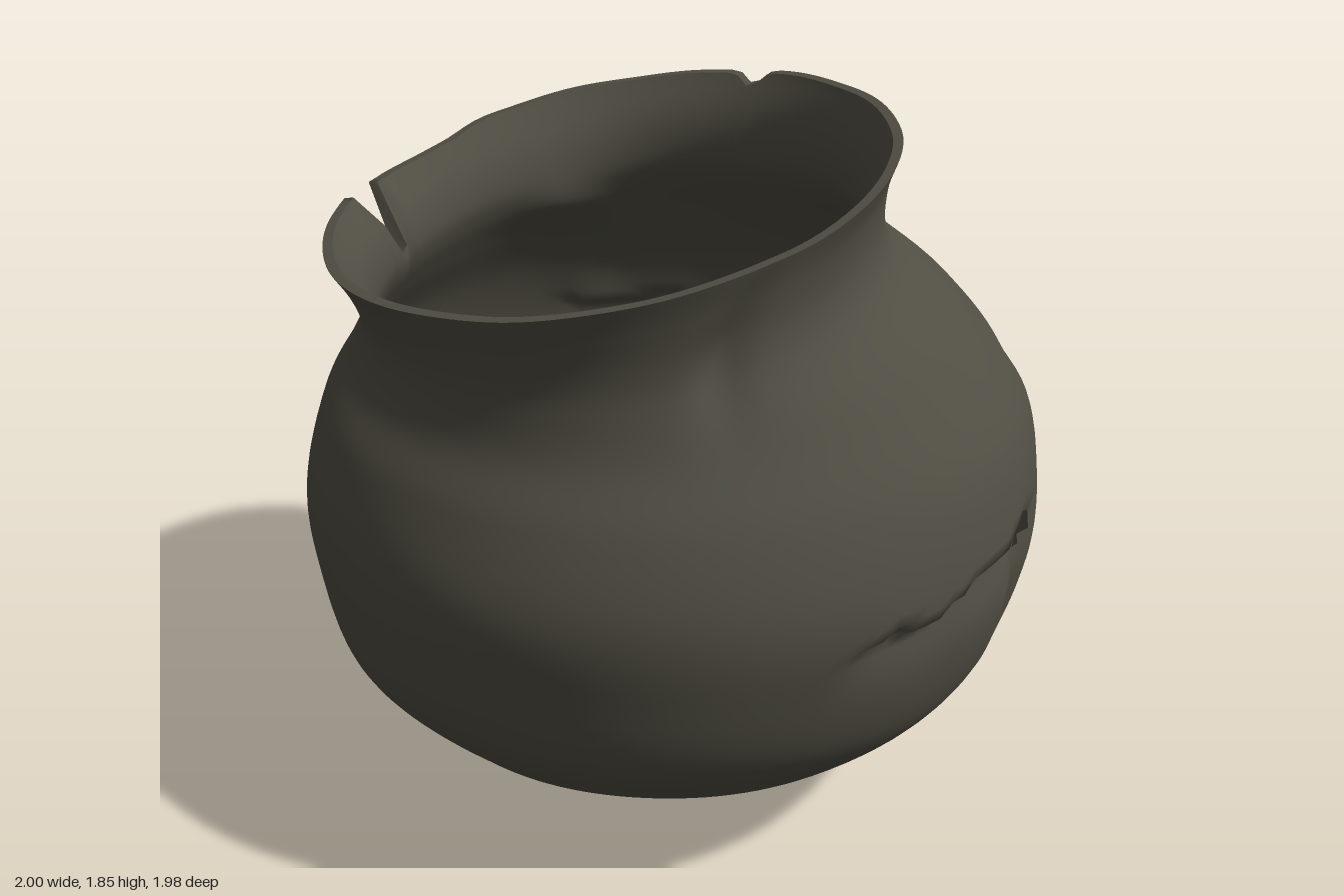
import * as THREE from 'three';

// Cross-sections: [centre height, tilt along x, tilt along z, xMin, xMax, zMin, zMax]
const RINGS = [
  [0.00, 0, 0, -0.171, -0.169, 0.069, 0.071],
  [0.06, 0, 0, -0.52, 0.38, -0.31, 0.40],
  [0.17, 0, 0, -0.69, 0.60, -0.55, 0.60],
  [0.28, 0, 0, -0.82, 0.77, -0.75, 0.73],
  [0.50, 0, 0, -0.95, 0.92, -0.90, 0.92],
  [0.75, 0, 0, -1.00, 0.99, -0.98, 0.98],
  [0.95, 0, 0, -0.99, 0.99, -0.98, 0.985],
  [1.15, 0.01, -0.01, -0.935, 0.94, -0.90, 0.91],
  [1.325, 0.06, -0.06, -0.85, 0.77, -0.75, 0.82],
  [1.44, 0.10, -0.07, -0.80, 0.61, -0.655, 0.785],
  [1.525, 0.125, -0.075, -0.79, 0.55, -0.62, 0.785],
  [1.63, 0.145, -0.09, -0.82, 0.55, -0.64, 0.81],
  [1.715, 0.15, -0.10, -0.87, 0.58, -0.69, 0.84],
];
const TOP = RINGS.length - 1, COLS = 144, ROWS = 84, NECK = 8;

// Smooth blend through the cross-sections
function ringAt(t) {
  const i = Math.min(Math.floor(t), TOP - 1), f = t - i;
  const at = (k) => RINGS[Math.max(0, Math.min(TOP, k))];
  return RINGS[0].map((_, c) => {
    const [a, b, d, e] = [at(i - 1)[c], at(i)[c], at(i + 1)[c], at(i + 2)[c]];
    const m0 = (d - a) / 2, m1 = (e - b) / 2;
    return b + f * m0 + f * f * (3 * (d - b) - 2 * m0 - m1) + f * f * f * (2 * (b - d) + m0 + m1);
  });
}

const wrap = (a) => Math.atan2(Math.sin(a), Math.cos(a));
const bump = (d, w) => Math.exp(-(d * d) / (w * w));
const smooth = (v, lo, hi) => THREE.MathUtils.smoothstep(v, lo, hi);
const band = (v, lo, hi, s) => smooth(v, lo - s, lo + s) * (1 - smooth(v, hi - s, hi + s));

// Height of the two horizontal cracks at a given angle
const sideCrack = (a) => 0.97 - 0.13 * a + 0.012 * Math.sin(a * 23);
const backCrack = (a) => 1.0 + 0.015 * Math.sin(a * 17);

// How far the broken edge dips below the rim, in cross-sections
function chip(a) {
  const big = band(wrap(a + 2.98), -0.075, 0.03, 0.025) * 2.1;
  const shallow = band(wrap(a + 2.7), -0.3, 0.3, 0.12) * 0.25;
  const small = bump(wrap(a + 1.16), 0.05) * 0.4;
  return Math.max(big, shallow, small) + 0.05 * (1 + Math.sin(a * 9) * Math.sin(a * 4));
}

// Dents, cracked steps and gentle unevenness of the wall
function dent(a, y) {
  let d = 0.005 * Math.sin(a * 5 + y * 4) * Math.sin(y * 6 + a * 2);
  const dy = y - sideCrack(a);
  const along = band(a, 0.25, 0.95, 0.1);
  d += along * (dy < 0 ? -0.035 * bump(dy, 0.1) : 0.008 * bump(dy, 0.12));
  d -= 0.03 * bump(a - 0.3, 0.05) * band(y, 0.58, 0.95, 0.05);
  const by = y - backCrack(a);
  d += band(a, -2.07, -1.3, 0.12) * (by > 0 ? -0.03 * bump(by, 0.1) : 0.006 * bump(by, 0.1));
  d -= 0.035 * bump(a + 0.22, 0.07) * bump(y - 1.2, 0.09);
  d -= 0.03 * bump(a - 1.05 - (1.5 - y) * 0.9, 0.08) * bump(y - 1.5, 0.13);
  d -= 0.025 * bump(a + 2.1, 0.18) * bump(y - 1.42, 0.07);
  return d;
}

// Point on the wall; inset moves it inside
function wallPoint(row, col, inner) {
  const a = wrap((col / COLS) * Math.PI * 2);
  let t = (row / ROWS) * TOP;
  if (t > NECK) t = NECK + (t - NECK) * (1 - chip(a) / (TOP - NECK));
  const [y0, sx, sz, x0, x1, z0, z1] = ringAt(t);
  const cx = (x0 + x1) / 2, cz = (z0 + z1) / 2;
  const inset = inner ? 0.045 - 0.02 * smooth(t, TOP - 1.5, TOP) : 0;
  const fade = smooth(t, 1, 3);
  const push = dent(a, y0) * fade - inset;
  const rx = Math.max((x1 - x0) / 2 + push, 0.001), rz = Math.max((z1 - z0) / 2 + push, 0.001);
  const x = rx * Math.cos(a), z = rz * Math.sin(a);
  const lift = inner ? 0.045 * (1 - smooth(t, 0, 5)) : 0;
  return [cx + x, y0 + sx * x + sz * z + lift, cz + z];
}

// Small openings where the cracks go right through
function isHole(row, col) {
  const a = wrap(((col + 0.5) / COLS) * Math.PI * 2);
  const y = ringAt(((row + 0.5) / ROWS) * TOP)[0];
  const corner = Math.abs(a - 0.27) < 0.015 + 0.05 * smooth(y, 0.8, 0.95) && y > 0.83 && y < sideCrack(a);
  const slit = a > -1.62 && a < -1.45 && Math.abs(y - backCrack(a)) < 0.013;
  return corner || slit;
}

// Joins rows of points into a smooth closed band
function loft(rows, flip, skip) {
  const index = [];
  for (let i = 0; i < rows.length - 1; i++) {
    for (let j = 0; j < COLS; j++) {
      if (skip && skip(i, j)) continue;
      const k = (j + 1) % COLS;
      const a = i * COLS + j, b = i * COLS + k, c = a + COLS, d = b + COLS;
      if (flip) index.push(a, b, c, b, d, c);
      else index.push(a, c, b, b, c, d);
    }
  }
  const geometry = new THREE.BufferGeometry();
  geometry.setAttribute('position', new THREE.Float32BufferAttribute(rows.flat(2), 3));
  geometry.setIndex(index);
  geometry.computeVertexNormals();
  return geometry;
}

export function createModel() {
  const model = new THREE.Group();
  model.name = 'brokenPot';
  const clay = new THREE.MeshStandardMaterial({ color: 0x504e43, side: THREE.DoubleSide });
  clay.name = 'dark clay';

  const wall = (inner) => Array.from({ length: ROWS + 1 }, (_, i) =>
    Array.from({ length: COLS }, (_, j) => wallPoint(i, j, inner)));
  const outer = wall(false), inner = wall(true);

  const add = (name, geometry) => {
    const mesh = new THREE.Mesh(geometry, clay);
    mesh.name = name;
    model.add(mesh);
  };
  add('outerWall', loft(outer, false, isHole));
  add('innerWall', loft(inner, true));
  // Narrow top edge between the two walls
  add('rimEdge', loft([outer[ROWS], inner[ROWS]], false));
  return model;
}
